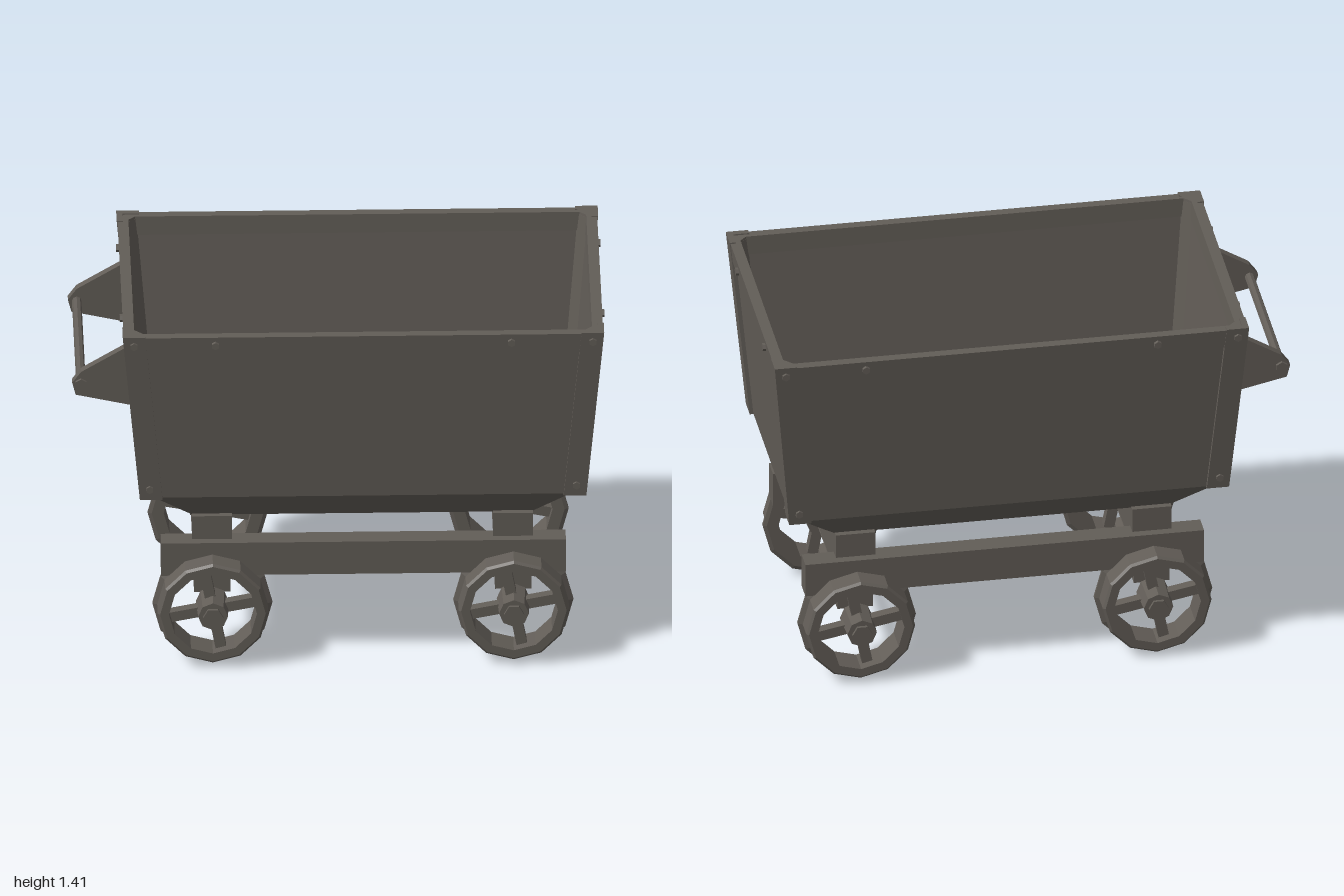
import * as THREE from 'three';

const CX = 0.09;                       // tub centre along x
const iron = new THREE.MeshStandardMaterial({ color: 0x625d57 });
iron.name = 'weathered iron';

// Mesh with faceted normals
function part(name, geometry, parent, x = 0, y = 0, z = 0) {
  const g = geometry.index ? geometry.toNonIndexed() : geometry;
  g.computeVertexNormals();
  const mesh = new THREE.Mesh(g, iron);
  mesh.name = name;
  mesh.position.set(x, y, z);
  parent.add(mesh);
  return mesh;
}

// Box given by its limits
function block(name, parent, x0, x1, y0, y1, z0, z1) {
  return part(name, new THREE.BoxGeometry(x1 - x0, y1 - y0, z1 - z0), parent,
    (x0 + x1) / 2, (y0 + y1) / 2, (z0 + z1) / 2);
}

// Skin a list of equal-length rings, optionally capping both ends
function loft(rings, caps) {
  const out = [];
  const tri = (...pts) => pts.forEach(p => out.push(...p));
  const n = rings[0].length;
  for (let i = 0; i + 1 < rings.length; i++) {
    for (let k = 0; k < n; k++) {
      const a = rings[i][k], b = rings[i][(k + 1) % n];
      const c = rings[i + 1][(k + 1) % n], d = rings[i + 1][k];
      tri(a, b, c);
      tri(a, c, d);
    }
  }
  if (caps) {
    const first = rings[0], last = rings[rings.length - 1];
    for (let k = 1; k + 1 < n; k++) {
      tri(first[0], first[k + 1], first[k]);
      tri(last[0], last[k], last[k + 1]);
    }
  }
  const g = new THREE.BufferGeometry();
  g.setAttribute('position', new THREE.Float32BufferAttribute(out, 3));
  return g;
}

// Rectangle ring with cut corners
const ring = (hx, hz, y, c) => [
  [hx - c, y, hz], [hx, y, hz - c], [hx, y, c - hz], [hx - c, y, -hz],
  [c - hx, y, -hz], [-hx, y, c - hz], [-hx, y, hz - c], [c - hx, y, hz],
];

// Outer half sizes of the sloping tub frame at a height
const halfX = y => 0.835 + 0.065 * (y - 0.705) / 0.705;
const halfZ = y => 0.466 + 0.060 * (y - 0.705) / 0.705;

function makeTub() {
  const tub = new THREE.Group();
  tub.name = 'tub';
  tub.position.x = CX;

  // Hopper shell: outside up, over the lip, inside down
  part('hopperShell', loft([
    ring(0.675, 0.325, 0.567, 0.04),
    ring(0.823, 0.454, 0.705, 0.045),
    ring(0.885, 0.512, 1.40, 0.045),
    ring(0.862, 0.492, 1.40, 0.035),
    ring(0.805, 0.432, 0.72, 0.035),
    ring(0.675, 0.32, 0.585, 0.04),
  ], true), tub);

  // Top rail
  const y0 = 1.335, y1 = 1.41;
  const low = ring(halfX(y0) - 0.001, halfZ(y0) - 0.001, y0, 0.01);
  part('topRail', loft([
    low,
    ring(halfX(y1) - 0.001, halfZ(y1) - 0.001, y1, 0.01),
    ring(0.858, 0.488, y1, 0.025),
    ring(0.854, 0.484, y0, 0.025),
    low,
  ]), tub);

  // Angle-iron corner posts
  const w = 0.085, t = 0.024;
  for (const sx of [1, -1]) for (const sz of [1, -1]) {
    const section = y => {
      const X = halfX(y) + 0.002, Z = halfZ(y) + 0.002;
      const pts = [[X - t, Z - t], [X - w, Z - t], [X - w, Z], [X, Z], [X, Z - w], [X - t, Z - w]]
        .map(([x, z]) => [sx * x, y, sz * z]);
      return sx * sz < 0 ? pts.reverse() : pts;
    };
    part('cornerPost', loft([section(0.703), section(1.415)], true), tub);
  }

  // Bolts on the long sides and the ends
  for (const s of [1, -1]) {
    for (const [x, y] of [[0.86, 1.378], [0.555, 1.378], [0.8, 0.75]]) {
      for (const m of [1, -1]) {
        part('sideBolt', new THREE.CylinderGeometry(0.015, 0.015, 0.026, 6).rotateX(Math.PI / 2),
          tub, m * x, y, s * halfZ(y));
      }
    }
    for (const m of [1, -1]) {
      part('endBolt', new THREE.CylinderGeometry(0.015, 0.015, 0.022, 6).rotateZ(Math.PI / 2),
        tub, m * halfX(1.378), 1.378, s * 0.29);
    }
  }
  return tub;
}

function makeHandle() {
  const handle = new THREE.Group();
  handle.name = 'pushHandle';
  const outline = [[-0.79, 1.295], [-0.965, 1.19], [-0.998, 1.145], [-0.985, 1.095],
    [-0.78, 1.05], [-0.765, 1.05], [-0.775, 1.295]];
  const shape = new THREE.Shape(outline.map(p => new THREE.Vector2(...p)));
  for (const s of [1, -1]) {
    part('handleBracket', new THREE.ExtrudeGeometry(shape, { depth: 0.035, bevelEnabled: false }),
      handle, 0, 0, s * 0.345 - 0.0175);
    part('handleNut', new THREE.CylinderGeometry(0.024, 0.024, 0.014, 6).rotateX(Math.PI / 2),
      handle, -0.965, 1.14, s * 0.367);
  }
  part('handleBar', new THREE.CylinderGeometry(0.018, 0.018, 0.69, 8).rotateX(Math.PI / 2),
    handle, -0.965, 1.14, 0);
  return handle;
}

function makeWheel() {
  const wheel = new THREE.Group();
  wheel.name = 'wheel';
  // Flanged rim
  const profile = [[0.165, 0.365], [0.21, 0.365], [0.225, 0.37], [0.225, 0.382], [0.207, 0.39],
    [0.207, 0.468], [0.198, 0.477], [0.165, 0.477], [0.165, 0.365]];
  part('rim', new THREE.LatheGeometry(profile.map(p => new THREE.Vector2(...p)), 12)
    .rotateX(Math.PI / 2), wheel);
  // Spokes, hub and axle nut
  for (let i = 0; i < 4; i++) {
    const spoke = new THREE.BoxGeometry(0.14, 0.04, 0.04);
    spoke.translate(0.105, 0, 0.42).rotateZ(0.19 + i * Math.PI / 2);
    part('spoke', spoke, wheel);
  }
  part('hub', new THREE.CylinderGeometry(0.056, 0.062, 0.13, 8).rotateX(Math.PI / 2),
    wheel, 0, 0, 0.433);
  part('axleNut', new THREE.CylinderGeometry(0.038, 0.038, 0.02, 6).rotateX(Math.PI / 2)
    .rotateZ(Math.PI / 6), wheel, 0, 0, 0.5);
  return wheel;
}

function makeUndercarriage() {
  const frame = new THREE.Group();
  frame.name = 'undercarriage';
  // Long side beams
  for (const s of [1, -1]) {
    block('sideBeam', frame, -0.665, 0.852, 0.345, 0.48, s * 0.35 - 0.041, s * 0.35 + 0.041);
  }
  for (const x of [-0.473, 0.655]) {
    // Cross beams carrying the tub
    block('tubBolster', frame, x - 0.075, x + 0.075, 0.478, 0.576, -0.357, 0.357);
    block('crossBeam', frame, x - 0.06, x + 0.06, 0.357, 0.48, -0.32, 0.32);
    // Axle with hangers and wheels
    part('axle', new THREE.CylinderGeometry(0.023, 0.023, 0.9, 8).rotateX(Math.PI / 2),
      frame, x, 0.227, 0);
    for (const s of [1, -1]) {
      block('axleHanger', frame, x - 0.068, x + 0.068, 0.255, 0.4, s * 0.32 - 0.03, s * 0.32 + 0.03);
      const wheel = makeWheel();
      wheel.position.set(x, 0.225, 0);
      if (s < 0) wheel.rotation.y = Math.PI;
      frame.add(wheel);
    }
  }
  return frame;
}

export function createModel() {
  const cart = new THREE.Group();
  cart.name = 'mineCart';
  cart.add(makeTub(), makeHandle(), makeUndercarriage());
  return cart;
}
